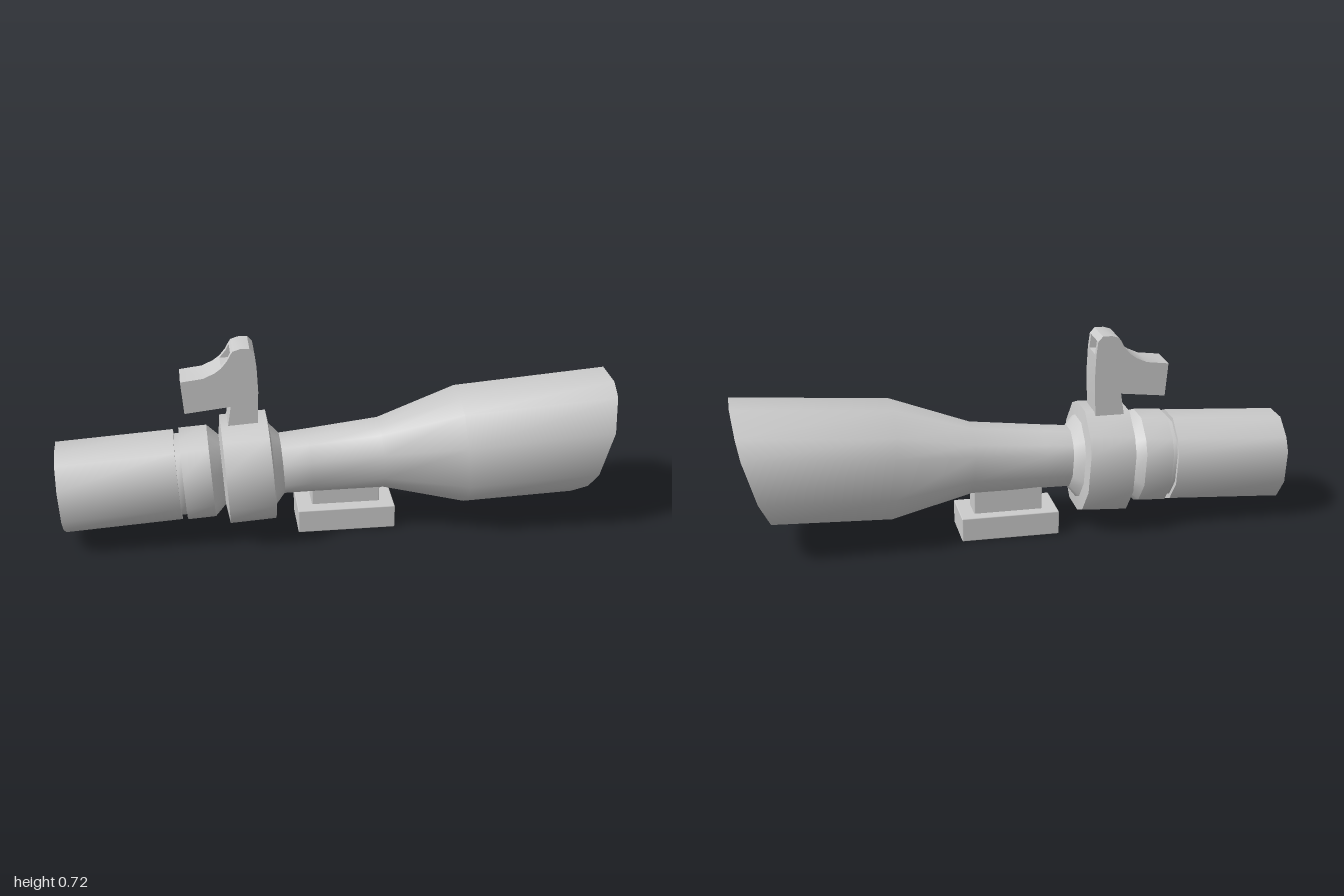
import * as THREE from 'three';
import { toCreasedNormals } from 'three/addons/utils/BufferGeometryUtils.js';
import { RoundedBoxGeometry } from 'three/addons/geometries/RoundedBoxGeometry.js';

const material = new THREE.MeshStandardMaterial({ color: 0xcccccc });

// Slightly twisted twelve-sided section as [z, y]; the second half is the first turned by 180 degrees
const half = [[0.32, 1], [0.65, 0.86], [1, 0.37], [1, -0.37], [0.8, -0.67], [0.32, -1]];
const section = [...half, ...half.map(([z, y]) => [-z, -y])];

// Closed tube along x from a loop of [x, radius, slanted?] points, outer side first
function tube(profile) {
  const n = section.length, m = profile.length;
  const pos = [], index = [];
  for (const [x, r, slanted] of profile) {
    for (const [z, y] of section) {
      const v = y * r;
      pos.push(x + (slanted ? 0.36 * v - 0.35 * v * v : 0), v, z * r);
    }
  }
  for (let i = 0; i < m; i++) {
    for (let j = 0; j < n; j++) {
      const a = i * n + j, b = i * n + (j + 1) % n;
      const c = ((i + 1) % m) * n + j, d = ((i + 1) % m) * n + (j + 1) % n;
      index.push(a, b, c, b, d, c);
    }
  }
  const g = new THREE.BufferGeometry();
  g.setAttribute('position', new THREE.Float32BufferAttribute(pos, 3));
  g.setIndex(index);
  return toCreasedNormals(g, 0.75);
}

function add(parent, name, geometry) {
  const mesh = new THREE.Mesh(geometry, material);
  mesh.name = name;
  parent.add(mesh);
  return mesh;
}

// Side profile [x, y] extruded from z0 to z1
function slab(points, z0, z1) {
  const shape = new THREE.Shape(points.map(([x, y]) => new THREE.Vector2(x, y)));
  const g = new THREE.ExtrudeGeometry(shape, { depth: z1 - z0, bevelEnabled: false });
  g.translate(0, 0, z0);
  return toCreasedNormals(g, 0.5);
}

function box(parent, name, [x0, x1], [y0, y1], [z0, z1]) {
  const g = new RoundedBoxGeometry(x1 - x0, y1 - y0, z1 - z0, 1, 0.004);
  add(parent, name, g).position.set((x0 + x1) / 2, (y0 + y1) / 2, (z0 + z1) / 2);
}

export function createModel() {
  const model = new THREE.Group();

  // Tilted optical tube
  const scope = new THREE.Group();
  scope.name = 'scope';
  scope.position.y = 0.268;
  scope.rotation.z = 0.06;
  model.add(scope);

  // Hollow body: eyepiece, groove, collar, neck, flared bell with slanted mouth, then the bore back
  add(scope, 'body', tube([
    [-0.992, 0.157], [-0.575, 0.157], [-0.575, 0.142], [-0.555, 0.142],
    [-0.555, 0.16], [-0.455, 0.16], [-0.415, 0.122], [-0.4, 0.15],
    [-0.24, 0.15], [-0.2, 0.106], [-0.1, 0.11], [0.16, 0.123], [0.45, 0.205],
    [0.948, 0.213, true], [0.948, 0.158, true], [0.86, 0.153, true],
    [0.86, 0.145, true], [0.45, 0.13], [0.16, 0.108], [-0.2, 0.1],
    [-0.9, 0.108], [-0.9, 0.115], [-0.992, 0.115],
  ]));

  // Clamp ring
  add(scope, 'clampRing', tube([
    [-0.415, 0.12], [-0.405, 0.19], [-0.24, 0.19], [-0.23, 0.12],
  ]));

  // Rear sight: a bracket with a window cut through its upright along x
  const sight = new THREE.Group();
  sight.name = 'sight';
  model.add(sight);
  const z0 = -0.077, z1 = 0.043, wall = 0.02;
  const lower = [[-0.39, 0.43], [-0.285, 0.43], [-0.28, 0.56], [-0.284, 0.655]];
  const arm = [[-0.407, 0.655], [-0.43, 0.638], [-0.47, 0.62], [-0.55, 0.61],
    [-0.54, 0.49], [-0.378, 0.508]];
  const cap = [[-0.29, 0.705], [-0.307, 0.724], [-0.34, 0.724], [-0.365, 0.716], [-0.373, 0.705]];
  add(sight, 'sightBody', slab([...lower, ...arm], z0, z1));
  add(sight, 'sightCap', slab(cap, z0, z1));
  const post = [[-0.284, 0.655], [-0.29, 0.705], [-0.373, 0.705], [-0.385, 0.682], [-0.407, 0.655]];
  for (const z of [z0, z1 - wall]) add(sight, 'windowPost', slab(post, z, z + wall));

  // Mounting foot
  box(model, 'mountBase', [-0.147, 0.208], [0, 0.088], [-0.115, 0.067]);
  box(model, 'mountBlock', [-0.092, 0.157], [0.08, 0.185], [-0.075, 0.018]);

  return model;
}
